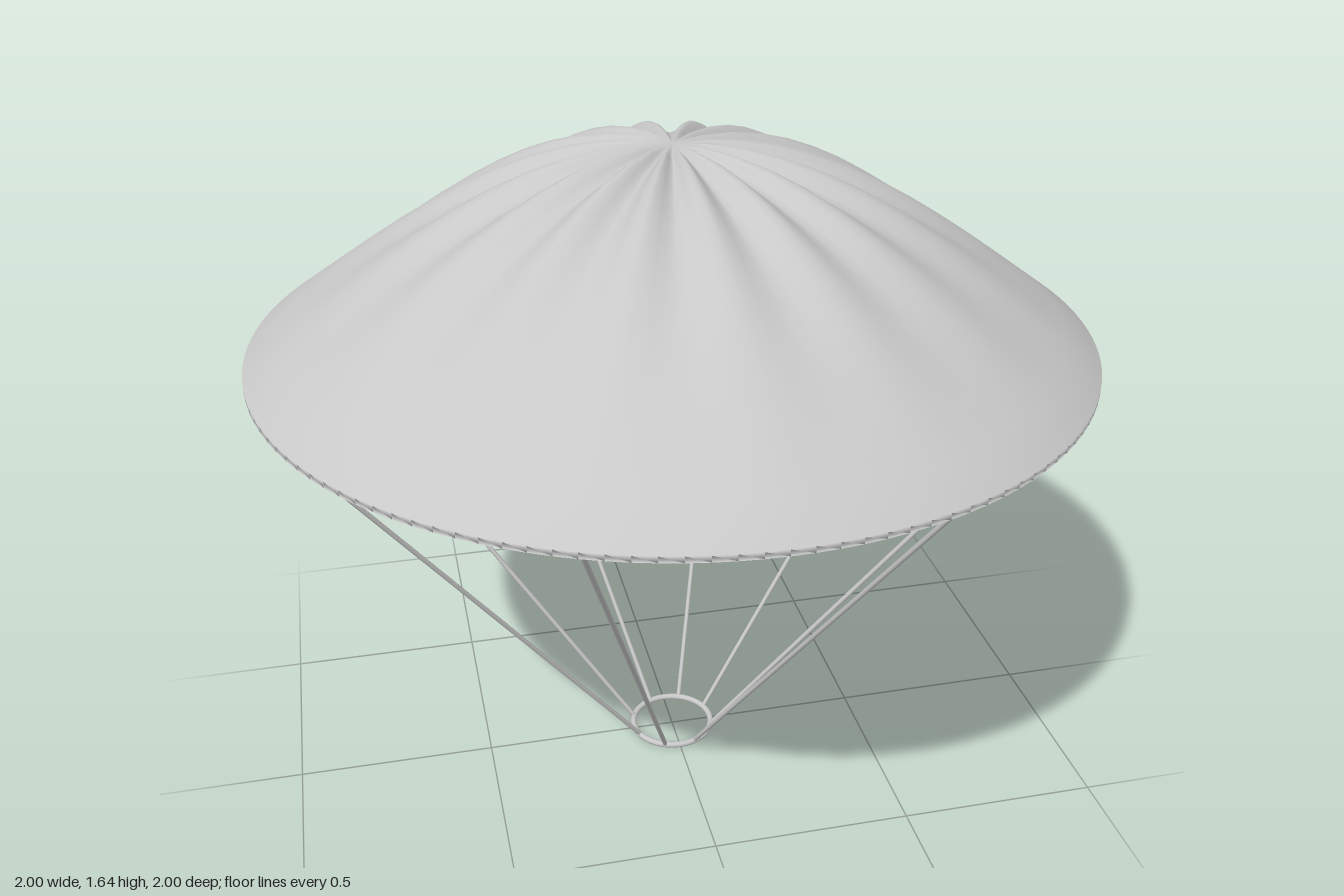
import * as THREE from 'three';
import { mergeVertices } from 'three/addons/utils/BufferGeometryUtils.js';

const RIM_Y = 1.175, RISE = 0.465, THICKNESS = 0.015;
const RINGS = 12, GORES = 16, LINES = 8;

// Smooth dome height at radius r
const domeY = (r) => RIM_Y + RISE * Math.cos((Math.PI / 2) * r);

// Thin closed shell, rippled into gores that fade out towards the rim
function canopyGeometry() {
  const profile = [];
  for (let i = 0; i <= RINGS; i++) profile.push(new THREE.Vector2(i / RINGS, domeY(i / RINGS) - THICKNESS));
  for (let i = RINGS; i >= 0; i--) profile.push(new THREE.Vector2(i / RINGS, domeY(i / RINGS)));
  let geometry = new THREE.LatheGeometry(profile, 128);
  const pos = geometry.attributes.position;
  for (let i = 0; i < pos.count; i++) {
    const x = pos.getX(i), z = pos.getZ(i), r = Math.hypot(x, z);
    const ripple = 0.11 * r * (1 - r) ** 2 * Math.cos(GORES * Math.atan2(z, x));
    pos.setY(i, pos.getY(i) + ripple);
  }
  geometry.deleteAttribute('uv');
  geometry.deleteAttribute('normal');
  geometry = mergeVertices(geometry, 1e-5);
  geometry.computeVertexNormals();
  return geometry;
}

// Straight cord between two points
function cord(from, to, radius, material) {
  const dir = to.clone().sub(from);
  const mesh = new THREE.Mesh(new THREE.CylinderGeometry(radius, radius, dir.length(), 8), material);
  mesh.position.copy(from).add(to).multiplyScalar(0.5);
  mesh.quaternion.setFromUnitVectors(new THREE.Vector3(0, 1, 0), dir.normalize());
  return mesh;
}

export function createModel() {
  const group = new THREE.Group();
  const grey = new THREE.MeshStandardMaterial({ color: 0xc8c8c8 });
  grey.name = 'light grey';

  const canopy = new THREE.Mesh(canopyGeometry(), grey);
  canopy.name = 'canopy';
  group.add(canopy);

  // Harness ring at the bottom
  const ring = new THREE.Mesh(new THREE.TorusGeometry(0.106, 0.008, 10, 48), grey);
  ring.name = 'harnessRing';
  ring.rotation.x = Math.PI / 2;
  ring.position.y = 0.008;
  group.add(ring);

  // Suspension lines from the ring to the canopy rim
  const lines = new THREE.Group();
  lines.name = 'suspensionLines';
  for (let i = 0; i < LINES; i++) {
    const a = ((i + 0.5) / LINES) * Math.PI * 2;
    const at = (r, y) => new THREE.Vector3(r * Math.cos(a), y, r * Math.sin(a));
    const line = cord(at(0.106, 0.01), at(0.985, 1.17), 0.006, grey);
    line.name = `suspensionLine${i + 1}`;
    lines.add(line);
  }
  group.add(lines);
  return group;
}
